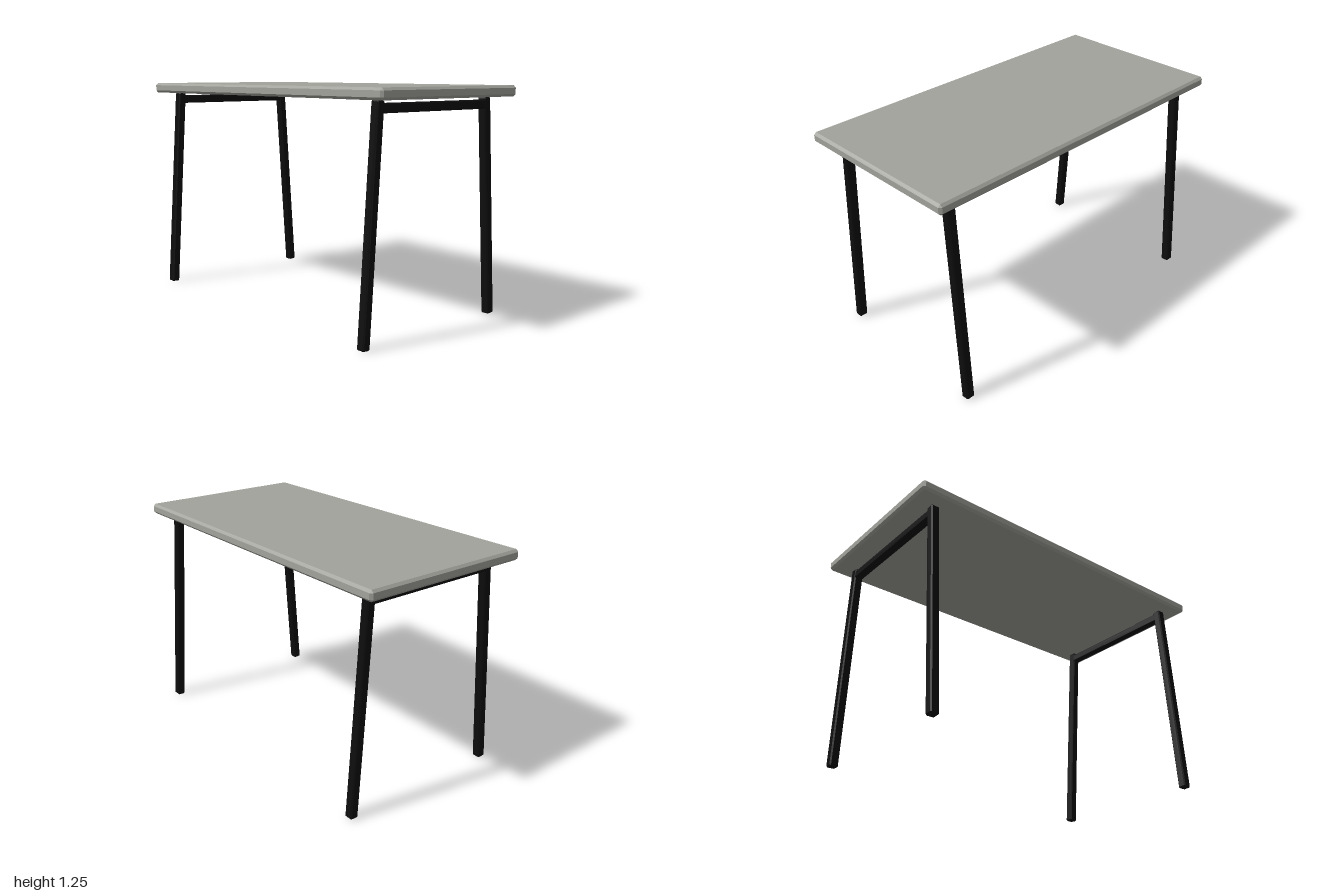
import * as THREE from 'three';
import { ConvexGeometry } from 'three/addons/geometries/ConvexGeometry.js';

// Box whose edges and corners are cut by a flat bevel
function bevelledBox(w, h, d, b) {
  const points = [];
  for (const sx of [-1, 1]) for (const sy of [-1, 1]) for (const sz of [-1, 1]) {
    const x = w / 2, y = h / 2, z = d / 2;
    points.push(
      new THREE.Vector3(sx * x, sy * (y - b), sz * (z - b)),
      new THREE.Vector3(sx * (x - b), sy * y, sz * (z - b)),
      new THREE.Vector3(sx * (x - b), sy * (y - b), sz * z)
    );
  }
  return new ConvexGeometry(points);
}

export function createModel() {
  const model = new THREE.Group();
  model.name = 'table';

  const topMaterial = new THREE.MeshStandardMaterial({ color: 0xa3a39d });
  topMaterial.name = 'warm grey';
  const frameMaterial = new THREE.MeshStandardMaterial({ color: 0x0d0d0d });
  frameMaterial.name = 'black';

  const add = (name, geometry, material, x, y, z) => {
    const mesh = new THREE.Mesh(geometry, material);
    mesh.name = name;
    mesh.position.set(x, y, z);
    model.add(mesh);
    return mesh;
  };

  // Tabletop slab
  add('tabletop', bevelledBox(2, 0.058, 1, 0.013), topMaterial, 0, 1.222, 0);

  // Two end frames: a pair of splayed legs joined by a rail under the top
  const legGeometry = bevelledBox(0.05, 1.192, 0.048, 0.007);
  const railGeometry = bevelledBox(0.046, 0.047, 0.79, 0.006);
  for (const sx of [-1, 1]) {
    const side = sx > 0 ? 'left' : 'right';
    for (const sz of [-1, 1]) {
      const name = side + (sz > 0 ? 'FrontLeg' : 'BackLeg');
      const leg = add(name, legGeometry, frameMaterial, sx * 0.87, 0.596, sz * 0.435);
      leg.rotation.x = -sz * 0.069;
    }
    add(side + 'Rail', railGeometry, frameMaterial, sx * 0.87, 1.152, 0);
  }

  return model;
}
